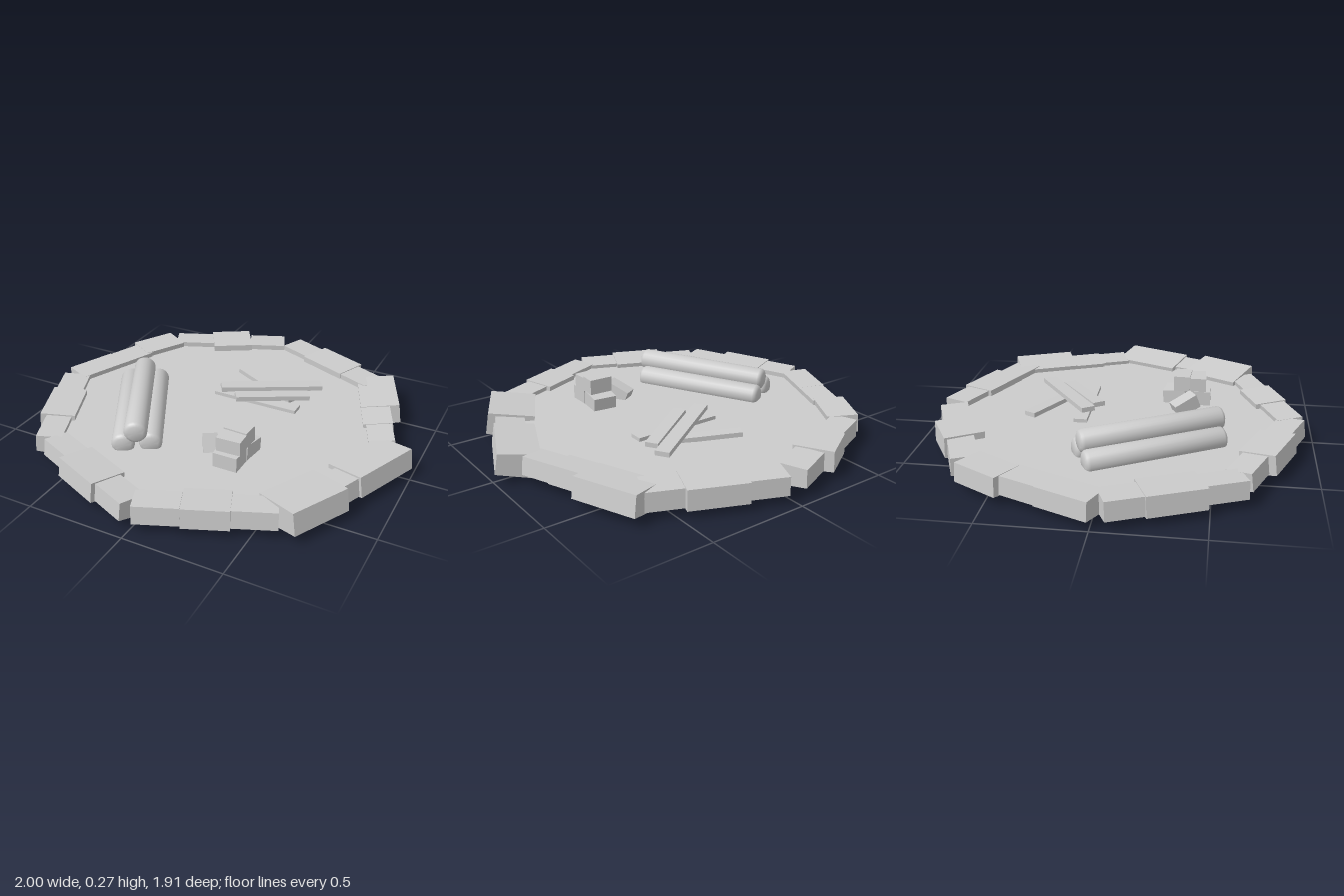
import * as THREE from 'three';
import { toCreasedNormals } from 'three/addons/utils/BufferGeometryUtils.js';

const grey = new THREE.MeshStandardMaterial({ color: 0xcccccc });
const greyDouble = new THREE.MeshStandardMaterial({ color: 0xcccccc, side: THREE.DoubleSide });

function add(parent, name, geometry, material = grey) {
  const mesh = new THREE.Mesh(geometry, material);
  mesh.name = name;
  parent.add(mesh);
  return mesh;
}

function box(parent, name, [w, h, d], [x, y, z], yaw = 0, pitch = 0) {
  const mesh = add(parent, name, new THREE.BoxGeometry(w, h, d));
  mesh.position.set(x, y, z);
  mesh.rotation.set(pitch, yaw, 0, 'YXZ');
  return mesh;
}

// Rim stone: a box whose outer face is a little lower than its inner face
function stone(parent, size, position, yaw, pitch) {
  const { geometry } = box(parent, 'rimStone', size, position, yaw, pitch);
  const p = geometry.attributes.position;
  for (let i = 0; i < p.count; i++) if (p.getZ(i) > 0) p.setY(i, p.getY(i) * 0.86);
  geometry.computeVertexNormals();
}

// Box whose long axis runs from a to b
function beam(parent, name, a, b, width, thickness) {
  const from = new THREE.Vector3(...a), to = new THREE.Vector3(...b);
  const mesh = add(parent, name, new THREE.BoxGeometry(width, thickness, from.distanceTo(to)));
  mesh.position.copy(from).add(to).multiplyScalar(0.5);
  mesh.lookAt(to);
}

// Round log with bevelled ends running from a to b
function log(parent, name, a, b, r) {
  const from = new THREE.Vector3(...a), to = new THREE.Vector3(...b);
  const h = from.distanceTo(to) / 2, c = 0.02;
  const profile = [[0, -h], [r - c, -h], [r - c * 0.3, -h + c * 0.4], [r, -h + c],
    [r, h - c], [r - c * 0.3, h - c * 0.4], [r - c, h], [0, h]]
    .map(([x, y]) => new THREE.Vector2(x, y));
  const mesh = add(parent, name, toCreasedNormals(new THREE.LatheGeometry(profile, 20), 0.7));
  mesh.position.copy(from).add(to).multiplyScalar(0.5);
  mesh.quaternion.setFromUnitVectors(new THREE.Vector3(0, 1, 0), to.sub(from).normalize());
}

export function createModel() {
  const model = new THREE.Group();
  model.name = 'ruinedPlatform';

  // Thin eight-sided floor
  const floor = add(model, 'floor', new THREE.CircleGeometry(0.86, 8), greyDouble);
  floor.rotation.x = -Math.PI / 2;
  floor.position.y = 0.105;

  // Rim sides with their outward lean and three stones each: x, z, length, depth
  const sides = [
    [0.1, [[0.485, 0.675, 0.22, 0.13], [0.29, 0.75, 0.22, 0.17], [0.09, 0.84, 0.215, 0.135]]],
    [0.17, [[0.83, 0.10, 0.365, 0.2], [0.75, 0.33, 0.17, 0.145], [0.655, 0.505, 0.315, 0.235]]],
    [0.15, [[0.663, -0.535, 0.33, 0.2], [0.735, -0.295, 0.17, 0.15], [0.80, -0.15, 0.17, 0.13]]],
    [0.04, [[0.1, -0.85, 0.205, 0.14], [0.31, -0.765, 0.285, 0.18], [0.51, -0.67, 0.2, 0.15]]],
    [0.04, [[-0.545, -0.68, 0.23, 0.13], [-0.34, -0.76, 0.225, 0.2], [-0.14, -0.845, 0.205, 0.14]]],
    [0.08, [[-0.88, -0.105, 0.27, 0.145], [-0.79, -0.315, 0.21, 0.14], [-0.715, -0.515, 0.25, 0.16]]],
    [0.09, [[-0.695, 0.55, 0.2, 0.13], [-0.795, 0.33, 0.28, 0.18], [-0.885, 0.125, 0.19, 0.145]]],
    [0.14, [[-0.105, 0.85, 0.205, 0.135], [-0.32, 0.76, 0.28, 0.18], [-0.54, 0.66, 0.2, 0.125]]],
  ];
  const yawOffset = { '1,2': -0.09, '4,1': 0.14, '5,2': -0.12 };
  const rim = new THREE.Group();
  rim.name = 'stoneRim';
  sides.forEach(([lean, stones], i) => stones.forEach(([x, z, length, depth], j) => {
    const yaw = (i + 0.5) * Math.PI / 4 + (yawOffset[`${i},${j}`] || 0);
    stone(rim, [length, 0.07 + 0.26 * depth, depth], [x, 0.083, z], yaw, -lean);
  }));
  model.add(rim);

  // Pile of three logs
  const logs = new THREE.Group();
  logs.name = 'logPile';
  log(logs, 'lowerLog', [-0.63, 0.13, -0.085], [-0.28, 0.133, 0.545], 0.057);
  log(logs, 'lowerLog', [-0.498, 0.13, -0.155], [-0.167, 0.133, 0.475], 0.057);
  log(logs, 'upperLog', [-0.56, 0.2, -0.12], [-0.215, 0.21, 0.53], 0.057);
  model.add(logs);

  // Scattered planks
  const planks = new THREE.Group();
  planks.name = 'planks';
  beam(planks, 'plank', [-0.115, 0.125, -0.455], [0.27, 0.11, -0.27], 0.062, 0.024);
  beam(planks, 'plank', [-0.14, 0.112, -0.187], [0.33, 0.112, -0.187], 0.07, 0.024);
  beam(planks, 'plank', [-0.1, 0.163, -0.15], [0.36, 0.138, -0.45], 0.072, 0.025);
  beam(planks, 'plank', [0.005, 0.15, -0.11], [0.335, 0.13, -0.33], 0.066, 0.025);
  model.add(planks);

  // Small heap of bricks
  const bricks = new THREE.Group();
  bricks.name = 'bricks';
  box(bricks, 'lowerBrick', [0.125, 0.085, 0.12], [0.24, 0.135, 0.28], -0.12, -0.1);
  box(bricks, 'lowerBrick', [0.125, 0.085, 0.11], [0.232, 0.138, 0.41]);
  box(bricks, 'upperBrick', [0.125, 0.08, 0.085], [0.235, 0.22, 0.315], -0.05);
  box(bricks, 'upperBrick', [0.125, 0.075, 0.085], [0.235, 0.215, 0.395], 0.04);
  box(bricks, 'looseBrick', [0.075, 0.075, 0.13], [0.09, 0.138, 0.335], 0.53, -0.4);
  model.add(bricks);

  return model;
}
